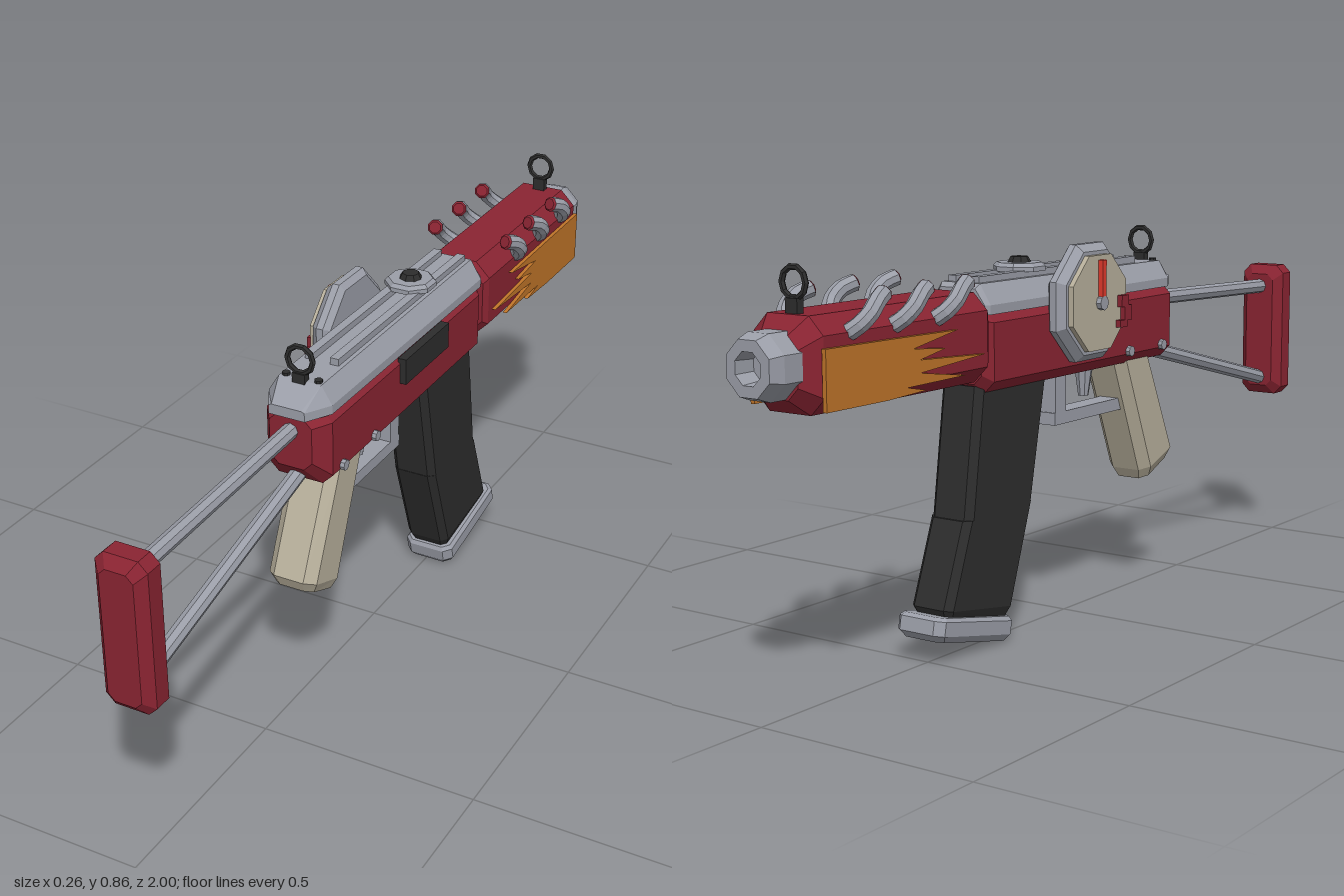
import * as THREE from 'three';

const mat = (name, color) => {
  const m = new THREE.MeshStandardMaterial({ color });
  m.name = name;
  m.flatShading = true;
  return m;
};

// Eight-cornered ring across the side profile: a = lower [z, y], b = upper [z, y]
function ring([az, ay, bz, by, hw, c]) {
  const len = Math.hypot(bz - az, by - ay), k = c / len;
  const at = (t, x) => [x, ay + (by - ay) * t, az + (bz - az) * t];
  return [at(0, hw - c), at(k, hw), at(1 - k, hw), at(1, hw - c),
    at(1, c - hw), at(1 - k, -hw), at(k, -hw), at(0, c - hw)];
}

// Capped loft through rings, wound outward by checking its signed volume
function loft(rings) {
  const n = rings[0].length, pos = rings.flat(2), idx = [];
  const last = (rings.length - 1) * n;
  for (let r = 0; r < rings.length - 1; r++) {
    for (let i = 0; i < n; i++) {
      const a = r * n + i, b = r * n + (i + 1) % n;
      idx.push(a, b, b + n, a, b + n, a + n);
    }
  }
  for (let i = 1; i < n - 1; i++) {
    idx.push(0, i + 1, i, last, last + i, last + i + 1);
  }
  const p = i => new THREE.Vector3().fromArray(pos, i * 3);
  const origin = p(0);
  let volume = 0;
  for (let i = 0; i < idx.length; i += 3) {
    const [a, b, c] = [0, 1, 2].map(k => p(idx[i + k]).sub(origin));
    volume += a.dot(b.cross(c));
  }
  if (volume < 0) idx.reverse();
  const g = new THREE.BufferGeometry();
  g.setAttribute('position', new THREE.Float32BufferAttribute(pos, 3));
  g.setIndex(idx);
  g.computeVertexNormals();
  return g;
}

const lathe = pts => new THREE.LatheGeometry(pts.map(p => new THREE.Vector2(...p)), 8, Math.PI / 8);

export function createModel() {
  const red = mat('body red', 0x8a2432), grey = mat('steel grey', 0x9b9ea8);
  const black = mat('black', 0x2d2d2d), beige = mat('grip beige', 0xb8b09c);
  const orange = mat('flame orange', 0xbf7429), bright = mat('needle red', 0xe23a2c);

  const model = new THREE.Group();
  const gun = new THREE.Group();
  gun.name = 'gun';
  gun.position.x = 0.008;
  model.add(gun);

  const add = (name, geo, m, x = 0, y = 0, z = 0) => {
    const mesh = new THREE.Mesh(geo, m);
    mesh.name = name;
    mesh.position.set(x, y, z);
    gun.add(mesh);
    return mesh;
  };
  const body = (name, m, sections) => add(name, loft(sections.map(ring)), m);
  const box = (name, m, w, h, d, x, y, z) => add(name, new THREE.BoxGeometry(w, h, d), m, x, y, z);
  const rod = (name, m, a, b, r, r2 = r) => {
    const from = new THREE.Vector3(...a), to = new THREE.Vector3(...b);
    const mesh = add(name, new THREE.CylinderGeometry(r2, r, from.distanceTo(to), 8), m);
    mesh.position.copy(from).lerp(to, 0.5);
    mesh.quaternion.setFromUnitVectors(new THREE.Vector3(0, 1, 0), to.sub(from).normalize());
    return mesh;
  };

  // Stock
  body('stockPad', red, [
    [0.92, 0.405, 0.92, 0.7, 0.038, 0.015], [0.94, 0.382, 0.94, 0.723, 0.058, 0.02],
    [0.98, 0.382, 0.98, 0.723, 0.058, 0.02], [1, 0.405, 1, 0.7, 0.038, 0.015]]);
  rod('upperStockRod', grey, [0, 0.668, 0.93], [0, 0.686, 0.35], 0.018);
  rod('lowerStockRod', grey, [0, 0.425, 0.93], [0, 0.585, 0.29], 0.018);

  // Receiver, handguard and top cover
  body('receiver', red, [
    [0.378, 0.6, 0.378, 0.72, 0.05, 0.02], [0.34, 0.556, 0.34, 0.73, 0.078, 0.025],
    [-0.355, 0.556, -0.355, 0.73, 0.078, 0.025], [-0.375, 0.575, -0.375, 0.73, 0.06, 0.02]]);
  body('handguard', red, [
    [-0.375, 0.595, -0.375, 0.757, 0.078, 0.033], [-0.39, 0.583, -0.39, 0.77, 0.087, 0.035],
    [-0.89, 0.583, -0.89, 0.77, 0.087, 0.035], [-0.93, 0.615, -0.93, 0.735, 0.058, 0.025]]);
  const coverRing = (z, hw, top, tw) => [
    [hw, 0.722, z], [hw, 0.742, z], [tw, top, z], [-tw, top, z], [-hw, 0.742, z], [-hw, 0.722, z]];
  add('topCover', loft([coverRing(0.392, 0.042, 0.745, 0.035), coverRing(0.335, 0.075, 0.782, 0.05),
    coverRing(-0.365, 0.077, 0.785, 0.05), coverRing(-0.376, 0.07, 0.775, 0.045)]), grey);
  for (const s of [-1, 1]) box('topRib', grey, 0.02, 0.02, 0.6, s * 0.03, 0.788, -0.055);

  // Top knob
  add('knobFlange', lathe([[0, 0], [0.035, 0], [0.035, 0.012], [0.058, 0.012], [0.058, 0.022], [0.05, 0.03], [0, 0.03]]),
    grey, 0, 0.783, -0.158);
  add('knobCentre', new THREE.CylinderGeometry(0.019, 0.027, 0.014, 8), black, 0, 0.818, -0.158);

  // Ring sights
  for (const [name, z] of [['rearSight', 0.333], ['frontSight', -0.872]]) {
    add(name + 'Ring', new THREE.TorusGeometry(0.03, 0.0065, 6, 10), black, 0, 0.828, z);
    box(name + 'Base', black, 0.03, 0.034, 0.018, 0, 0.782, z);
  }
  for (const s of [-1, 1]) rod('sightBolt', black, [s * 0.038, 0.77, 0.325], [s * 0.038, 0.788, 0.325], 0.009);

  // Muzzle with bore
  add('muzzle', lathe([[0, 0], [0.069, 0], [0.069, 0.055], [0.058, 0.085], [0.034, 0.085], [0.03, 0.04], [0, 0.04]]),
    grey, 0, 0.68, -0.915).rotation.x = -Math.PI / 2;

  // Magazine and its base plate
  body('magazineUpper', black, [
    [-0.123, 0.57, -0.373, 0.57, 0.054, 0.015], [-0.18, 0.295, -0.413, 0.286, 0.054, 0.015]]);
  body('magazineLower', black, [
    [-0.178, 0.298, -0.417, 0.29, 0.054, 0.015], [-0.255, 0.075, -0.485, 0.112, 0.054, 0.015],
    [-0.268, 0.055, -0.475, 0.09, 0.046, 0.012]]);
  body('magazineBase', grey, [
    [-0.262, 0.053, -0.51, 0.105, 0.055, 0.015], [-0.258, 0.043, -0.522, 0.1, 0.062, 0.018],
    [-0.265, 0.014, -0.528, 0.07, 0.062, 0.018], [-0.278, 0.001, -0.515, 0.053, 0.052, 0.015]]);

  // Grip
  body('grip', beige, [
    [0.155, 0.575, 0.29, 0.575, 0.058, 0.022], [0.272, 0.285, 0.402, 0.335, 0.058, 0.022],
    [0.285, 0.262, 0.39, 0.307, 0.046, 0.018]]);

  // Trigger and guard
  box('triggerGuardBar', grey, 0.05, 0.028, 0.27, 0, 0.454, 0.075);
  box('triggerGuardPost', grey, 0.05, 0.125, 0.04, 0, 0.503, -0.037);
  rod('trigger', grey, [0, 0.57, 0.092], [0, 0.487, 0.09], 0.024, 0.012);

  // Pins and ejection port
  for (const z of [0.16, 0.3]) rod('pin', grey, [-0.088, 0.588, z], [0.088, 0.588, z], 0.012);
  box('ejectionPort', black, 0.02, 0.06, 0.208, 0.083, 0.688, -0.062);

  // Flame plates on both sides, drawn with x running towards the muzzle
  const flame = new THREE.Shape([[0.895, 0.593], [0.895, 0.712], [0.7, 0.71], [0.5, 0.68 + 0.027],
    [0.64, 0.684], [0.54, 0.674], [0.62, 0.66], [0.41, 0.648], [0.62, 0.634],
    [0.475, 0.612], [0.66, 0.61], [0.6, 0.598], [0.72, 0.593]].map(p => new THREE.Vector2(...p)));
  const flameGeo = new THREE.ExtrudeGeometry(flame, { depth: 0.0095, bevelEnabled: false });
  for (const x of [0.0865, -0.096]) add('flamePlate', flameGeo, orange, x).rotation.y = Math.PI / 2;

  // Curled exhaust pipes with red mouths
  for (const s of [-1, 1]) {
    for (const z of [-0.55, -0.68, -0.81]) {
      const path = new THREE.CatmullRomCurve3([[0.07, 0.73, 0.0], [0.09, 0.742, 0.008], [0.105, 0.766, 0.03],
        [0.102, 0.788, 0.055], [0.092, 0.799, 0.085]].map(([x, y, dz]) => new THREE.Vector3(s * x, y, z + dz)));
      add('exhaustPipe', new THREE.TubeGeometry(path, 8, 0.018, 8), grey);
      const end = path.getPoint(1), tip = end.clone().addScaledVector(path.getTangent(1), 0.004);
      rod('exhaustMouth', red, end.toArray(), tip.toArray(), 0.0185, 0.014);
    }
  }

  // Side dial: housing, face, needle, hub and stepped marker
  add('dialHousing', lathe([[0, 0], [0.125, 0], [0.139, 0.012], [0.139, 0.028], [0.122, 0.045], [0, 0.045]]),
    grey, -0.07, 0.72, -0.032).rotation.z = Math.PI / 2;
  add('dialFace', lathe([[0, 0], [0.113, 0], [0.113, 0.013], [0, 0.013]]),
    beige, -0.114, 0.72, -0.032).rotation.z = Math.PI / 2;
  box('dialNeedle', bright, 0.012, 0.08, 0.014, -0.133, 0.774, -0.032);
  rod('dialHub', grey, [-0.12, 0.72, -0.032], [-0.139, 0.72, -0.032], 0.016);
  for (const [y, z, h] of [[0.717, 0.052, 0.026], [0.69, 0.064, 0.034], [0.667, 0.046, 0.016]]) {
    box('dialMarker', red, 0.024, h, 0.028, -0.127, y, z);
  }
  return model;
}
